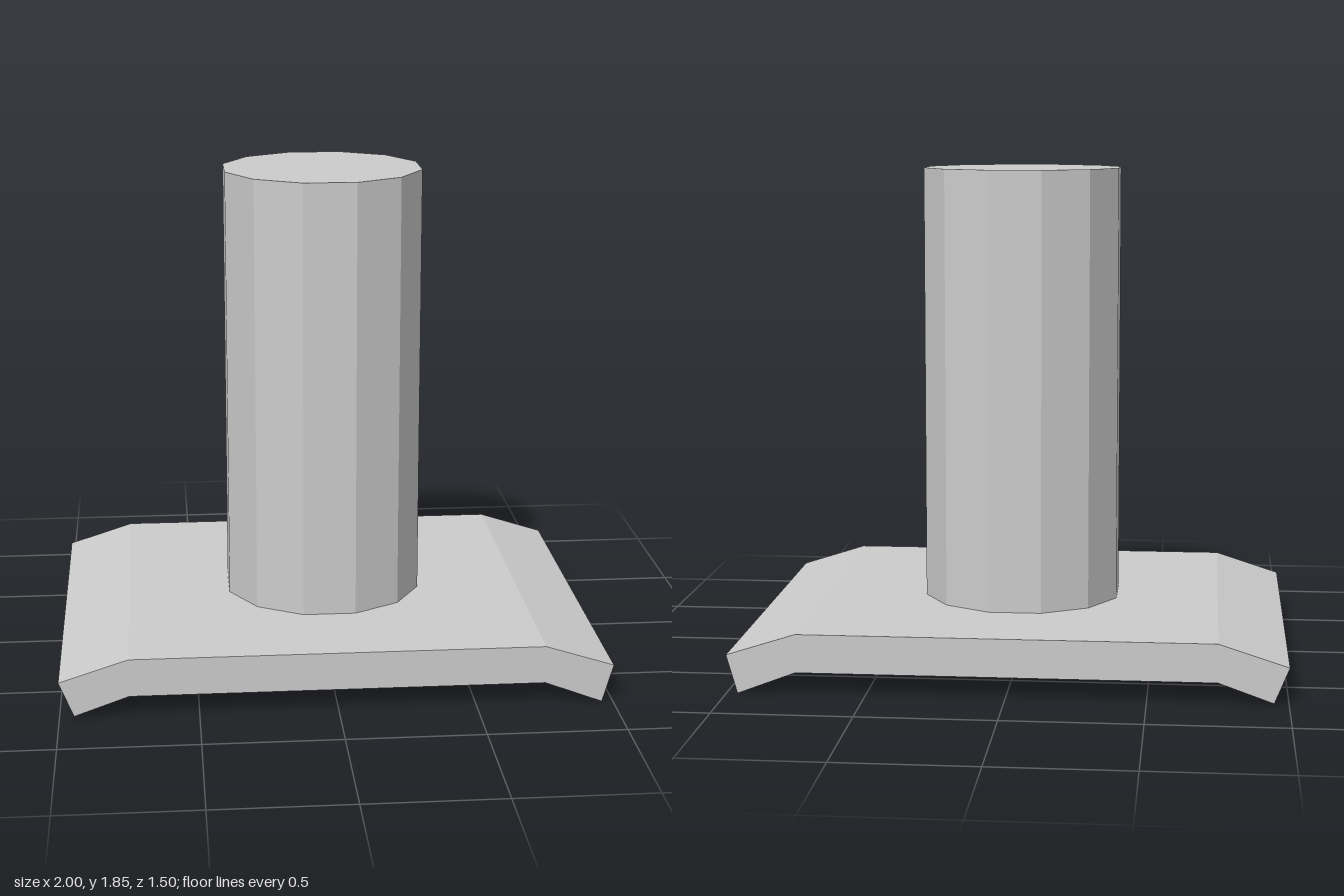
import * as THREE from 'three';

export function createModel() {
  const group = new THREE.Group();
  const material = new THREE.MeshStandardMaterial({ color: 0xcccccc, flatShading: true });

  // Base plate: a slab with both side edges bent down, extruded along z
  const profile = [
    [-0.75, 0.08], [0.75, 0.08], [0.96, 0], [1, 0.14],
    [0.75, 0.22], [-0.75, 0.22], [-1, 0.14], [-0.947, 0.01],
  ].map(([x, y]) => new THREE.Vector2(x, y));
  const depth = 1.5;
  const plateGeometry = new THREE.ExtrudeGeometry(new THREE.Shape(profile), { depth, bevelEnabled: false });
  plateGeometry.translate(0, 0, -depth / 2);
  const plate = new THREE.Mesh(plateGeometry, material);
  plate.name = 'basePlate';
  group.add(plate);

  // Post: twelve-sided column with flat faces towards x and z
  const bottom = 0.22, top = 1.85;
  const postGeometry = new THREE.CylinderGeometry(0.377, 0.377, top - bottom, 12, 1, false, Math.PI / 12);
  const post = new THREE.Mesh(postGeometry, material);
  post.name = 'post';
  post.position.y = (top + bottom) / 2;
  group.add(post);

  return group;
}
